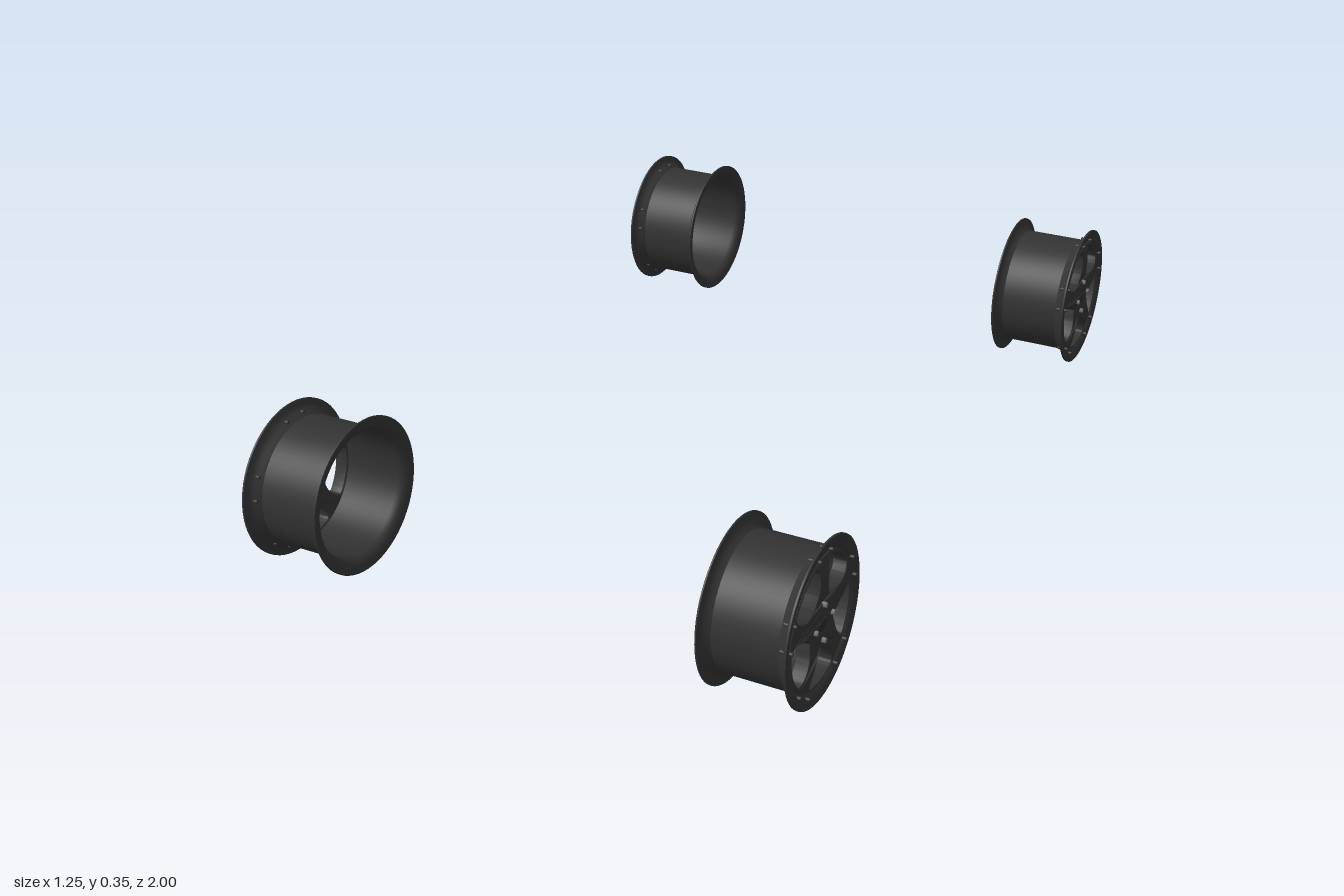
import * as THREE from 'three';
import { toCreasedNormals } from 'three/addons/utils/BufferGeometryUtils.js';

const R = 0.173;          // flange radius, also axle height
const rad = THREE.MathUtils.degToRad;
const polar = (r, deg) => new THREE.Vector2(r * Math.cos(rad(deg)), r * Math.sin(rad(deg)));

const darkMetal = new THREE.MeshStandardMaterial({ color: 0x333333 });
darkMetal.name = 'dark metal';
const capBlack = new THREE.MeshStandardMaterial({ color: 0x282828 });
capBlack.name = 'cap black';
const lugSteel = new THREE.MeshStandardMaterial({ color: 0x707070 });
lugSteel.name = 'lug steel';

// Hollow barrel with a flared flange at each end, closed profile of [radius, x]
function barrelGeometry() {
  const profile = [
    [0.171, 0.432], [R, 0.433], [R, 0.436], [0.160, 0.438], [0.150, 0.443], [0.1435, 0.452],
    [0.1435, 0.590], [0.149, 0.597], [0.153, 0.604], [0.160, 0.611], [R, 0.614], [R, 0.618],
    [0.171, 0.619], [0.158, 0.617], [0.146, 0.613], [0.1395, 0.605],
    [0.1395, 0.452], [0.147, 0.440], [0.157, 0.434], [0.171, 0.432],
  ].map(([r, x]) => new THREE.Vector2(r, x));
  const g = new THREE.LatheGeometry(profile, 64);
  g.rotateZ(-Math.PI / 2);
  return toCreasedNormals(g, 0.6);
}

// Five-spoke face: a disc with five rounded windows, bulged between hub and rim
function faceGeometry() {
  const disc = new THREE.Shape();
  disc.absarc(0, 0, 0.140, 0, Math.PI * 2, false);
  // half a window: [distance along spoke, half width of spoke]
  const edge = [[0.058, 0.027], [0.075, 0.020], [0.098, 0.0175], [0.118, 0.020], [0.130, 0.027]];
  for (let i = 0; i < 5; i++) {
    const mid = 126 + i * 72;
    const side = edge.map(([t, w]) => [Math.hypot(t, w), 36 - THREE.MathUtils.radToDeg(Math.atan2(w, t))]);
    const pts = [
      polar(0.055, mid),
      ...side.map(([r, a]) => polar(r, mid + a)),
      ...[20, 10, 0, -10, -20].map(a => polar(0.1365, mid + a)),
      ...side.slice().reverse().map(([r, a]) => polar(r, mid - a)),
    ];
    const curve = new THREE.SplineCurve([...pts, pts[0]]);
    disc.holes.push(new THREE.Path(curve.getPoints(60)));
  }
  const g = new THREE.ExtrudeGeometry(disc, {
    depth: 0.022, bevelEnabled: true, bevelThickness: 0.004, bevelSize: 0.002,
    bevelSegments: 2, curveSegments: 60,
  });
  const p = g.attributes.position;
  for (let i = 0; i < p.count; i++) {
    const r = Math.hypot(p.getX(i), p.getY(i));
    const k = THREE.MathUtils.clamp((r - 0.05) / 0.09, 0, 1);
    p.setZ(i, p.getZ(i) + 0.587 + 0.006 * Math.sin(k * Math.PI));
  }
  g.rotateY(Math.PI / 2);
  return toCreasedNormals(g, 0.5);
}

// Cylinder along x from x0 to x1
function axial(r0, r1, x0, x1, sides) {
  const g = new THREE.CylinderGeometry(r1, r0, x1 - x0, sides);
  g.rotateZ(-Math.PI / 2);
  g.translate((x0 + x1) / 2, 0, 0);
  return g;
}

const geo = {
  barrel: barrelGeometry(),
  face: faceGeometry(),
  hub: axial(0.042, 0.05, 0.570, 0.590, 32),
  capRing: new THREE.TorusGeometry(0.023, 0.003, 8, 32).rotateY(Math.PI / 2).translate(0.613, 0, 0),
  cap: axial(0.022, 0.019, 0.605, 0.617, 32),
  lug: axial(0.0065, 0.0055, 0.605, 0.624, 6),
  bolt: axial(0.004, 0.004, 0.596, 0.622, 8),
};

function makeWheel(name) {
  const wheel = new THREE.Group();
  wheel.name = name;
  const add = (part, g, material, deg = 0, r = 0) => {
    const m = new THREE.Mesh(g, material);
    m.name = part;
    m.position.set(0, r * Math.sin(rad(deg)), -r * Math.cos(rad(deg)));
    wheel.add(m);
  };
  add('rimBarrel', geo.barrel, darkMetal);
  add('spokeFace', geo.face, darkMetal);
  add('hubBack', geo.hub, darkMetal);
  add('capRing', geo.capRing, darkMetal);
  add('centreCap', geo.cap, capBlack);
  for (let i = 0; i < 4; i++) add('lugNut', geo.lug, lugSteel, i * 90, 0.040);
  // A pair of bolts at the end of every spoke
  for (let i = 0; i < 5; i++) {
    for (const s of [-10, 10]) add('rimBolt', geo.bolt, darkMetal, 90 + i * 72 + s, 0.150);
  }
  return wheel;
}

export function createModel() {
  const model = new THREE.Group();
  model.name = 'wheelSet';
  for (const [end, z] of [['front', 0.827], ['rear', -0.827]]) {
    for (const side of ['Left', 'Right']) {
      const wheel = makeWheel(end + side + 'Wheel');
      wheel.position.set(0, R, z);
      if (side === 'Right') wheel.rotation.y = Math.PI;
      model.add(wheel);
    }
  }
  return model;
}
